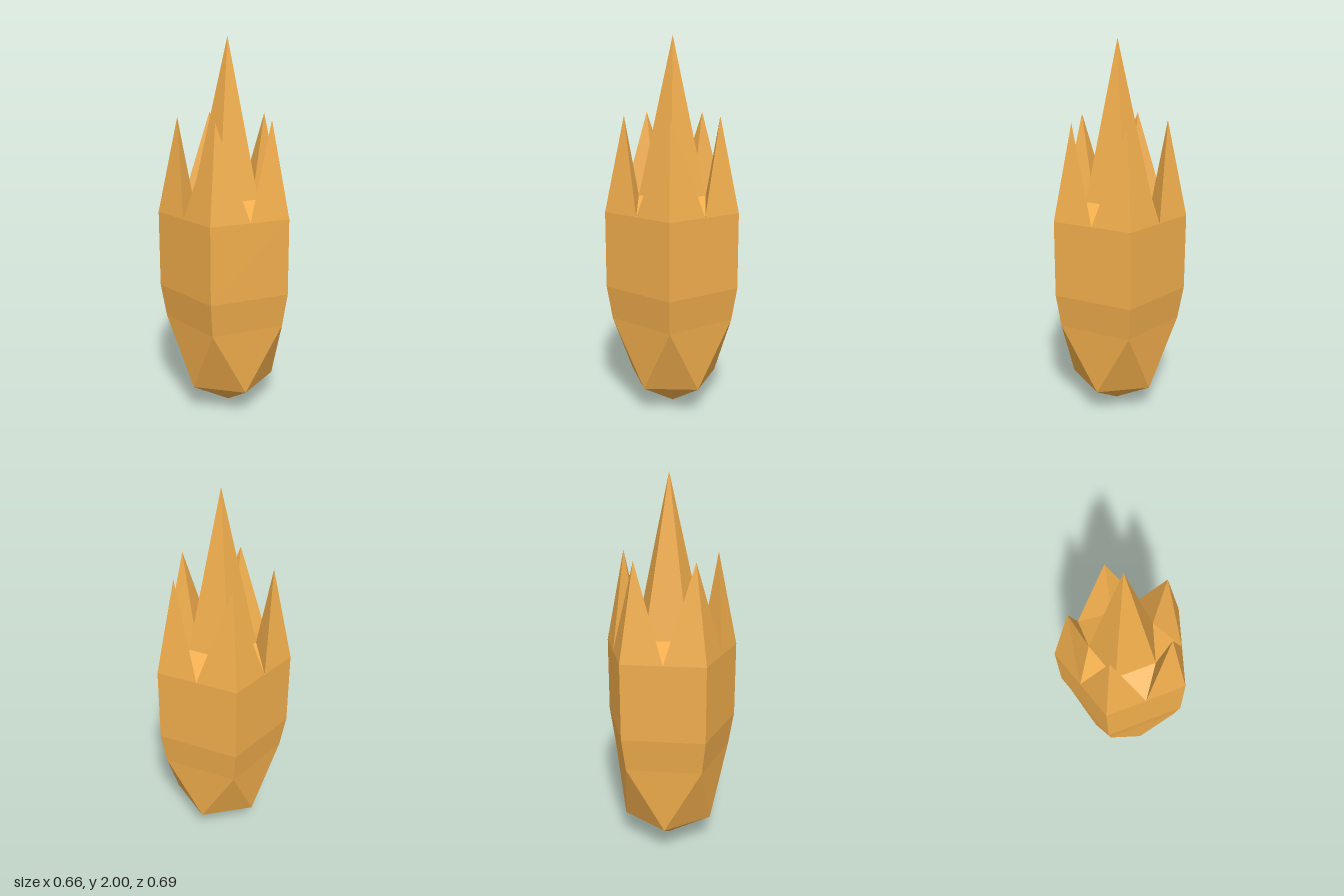
import * as THREE from 'three';

const SIDES = 5;
const CENTRE_X = -0.035;

// Point on a five-sided ring; whole k are corners, half k are edge middles
function at(radius, y, k) {
  const a = (k / SIDES) * Math.PI * 2;
  return [CENTRE_X + radius * Math.cos(a), y, radius * Math.sin(a)];
}

// Faceted mesh from triangles repeated around the axis
function facetedMesh(name, material, trianglesForSide) {
  const positions = [];
  for (let k = 0; k < SIDES; k++) {
    for (const triangle of trianglesForSide(k)) positions.push(...triangle.flat());
  }
  const geometry = new THREE.BufferGeometry();
  geometry.setAttribute('position', new THREE.Float32BufferAttribute(positions, 3));
  geometry.computeVertexNormals();
  const mesh = new THREE.Mesh(geometry, material);
  mesh.name = name;
  return mesh;
}

export function createModel() {
  const group = new THREE.Group();
  group.name = 'crystal';
  const material = new THREE.MeshStandardMaterial({ color: 0xf0ad4c, flatShading: true });

  // Ring points
  const foot = [CENTRE_X, 0, 0];
  const apex = [CENTRE_X, 2, 0];
  const base = (k) => at(0.245, 0.155, k + 0.5);
  const belly = (k) => at(0.335, 0.52, k);
  const waist = (k) => at(0.365, 0.7, k);
  const rim = (k) => at(0.365, 1.105, k);
  const notch = (k) => at(0.365 * Math.cos(Math.PI / SIDES), 1.105, k + 0.5);
  const tip = (k) => at(0.258, 1.6, k);
  const inner = (k) => at(0.184, 1.185, k);

  // Pointed underside
  group.add(facetedMesh('pointedBase', material, (k) => [
    [foot, base(k), base(k + 1)],
    [base(k), belly(k + 1), base(k + 1)],
    [base(k), belly(k), belly(k + 1)],
  ]));

  // Upright walls
  const band = (lower, upper) => (k) => [
    [lower(k), upper(k), lower(k + 1)],
    [upper(k), upper(k + 1), lower(k + 1)],
  ];
  group.add(facetedMesh('lowerWall', material, band(belly, waist)));
  group.add(facetedMesh('upperWall', material, band(waist, rim)));

  // Five outer spikes, each with two outward and two inward faces
  group.add(facetedMesh('outerSpikes', material, (k) => [
    [rim(k), tip(k), notch(k)],
    [notch(k - 1), tip(k), rim(k)],
    [notch(k), tip(k), inner(k)],
    [notch(k - 1), inner(k), tip(k)],
  ]));

  // Small sloping ledges between the spikes
  group.add(facetedMesh('ledges', material, (k) => [
    [notch(k), inner(k), inner(k + 1)],
  ]));

  // Tall middle spike
  group.add(facetedMesh('centreSpike', material, (k) => [
    [inner(k), apex, inner(k + 1)],
  ]));

  return group;
}
